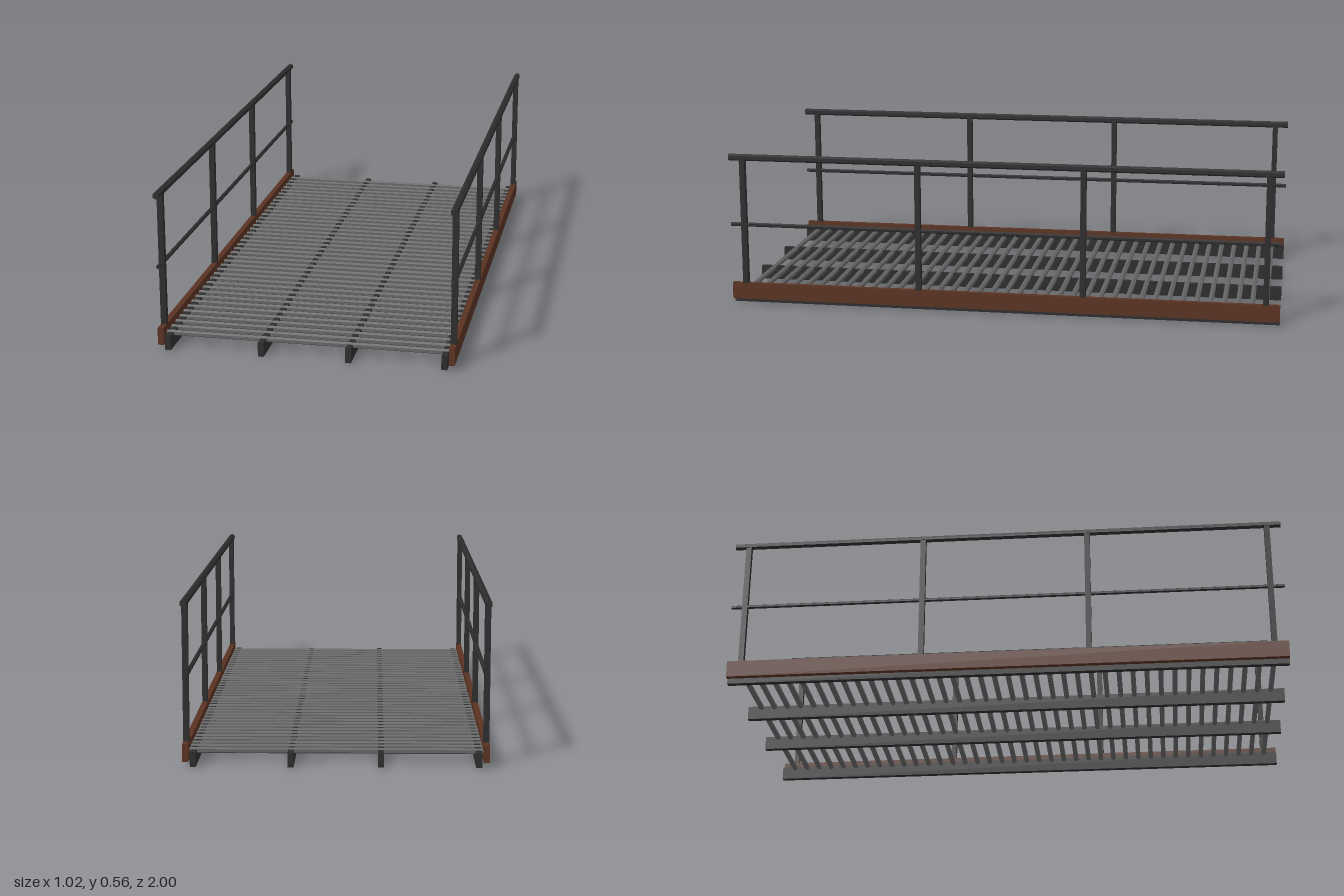
import * as THREE from 'three';

export function createModel() {
  const model = new THREE.Group();
  model.name = 'walkway';

  const mat = (name, color, flatShading = false) =>
    new THREE.MeshStandardMaterial({ name, color, flatShading });
  const darkSteel = mat('dark steel', 0x2d2d2d, true);
  const gratingSteel = mat('grating steel', 0x666666, true);
  const rust = mat('rusty brown', 0x5a3322);

  const add = (name, geometry, material, x, y, z) => {
    const mesh = new THREE.Mesh(geometry, material);
    mesh.name = name;
    mesh.position.set(x, y, z);
    model.add(mesh);
  };

  // Long beams under the deck
  const beam = new THREE.BoxGeometry(0.02, 0.05, 2);
  for (const x of [-0.475, -0.15, 0.15, 0.475]) add('beam', beam, darkSteel, x, 0.025, 0);

  // Grating: hexagonal cross bars, ridge upwards
  const bar = new THREE.CylinderGeometry(0.01, 0.01, 0.98, 6);
  bar.rotateY(Math.PI / 2).rotateZ(Math.PI / 2);
  for (let i = -19; i <= 19; i++) add('gratingBar', bar, gratingSteel, 0, 0.0455, i * 0.05);

  // Toe boards, posts and rails on both sides
  const toeBoard = new THREE.BoxGeometry(0.02, 0.06, 2);
  const post = new THREE.BoxGeometry(0.02, 0.471, 0.02);
  const handrail = new THREE.CylinderGeometry(0.0125, 0.0125, 2, 6).rotateX(Math.PI / 2);
  const midRail = new THREE.CylinderGeometry(0.0075, 0.0075, 2, 6).rotateX(Math.PI / 2);
  for (const x of [-0.5, 0.5]) {
    add('toeBoard', toeBoard, rust, x, 0.047, 0);
    for (const z of [-0.95, -0.3, 0.3, 0.95]) add('post', post, darkSteel, x, 0.3115, z);
    add('handrail', handrail, darkSteel, x, 0.547, 0);
    add('midRail', midRail, darkSteel, x, 0.297, 0);
  }

  return model;
}
